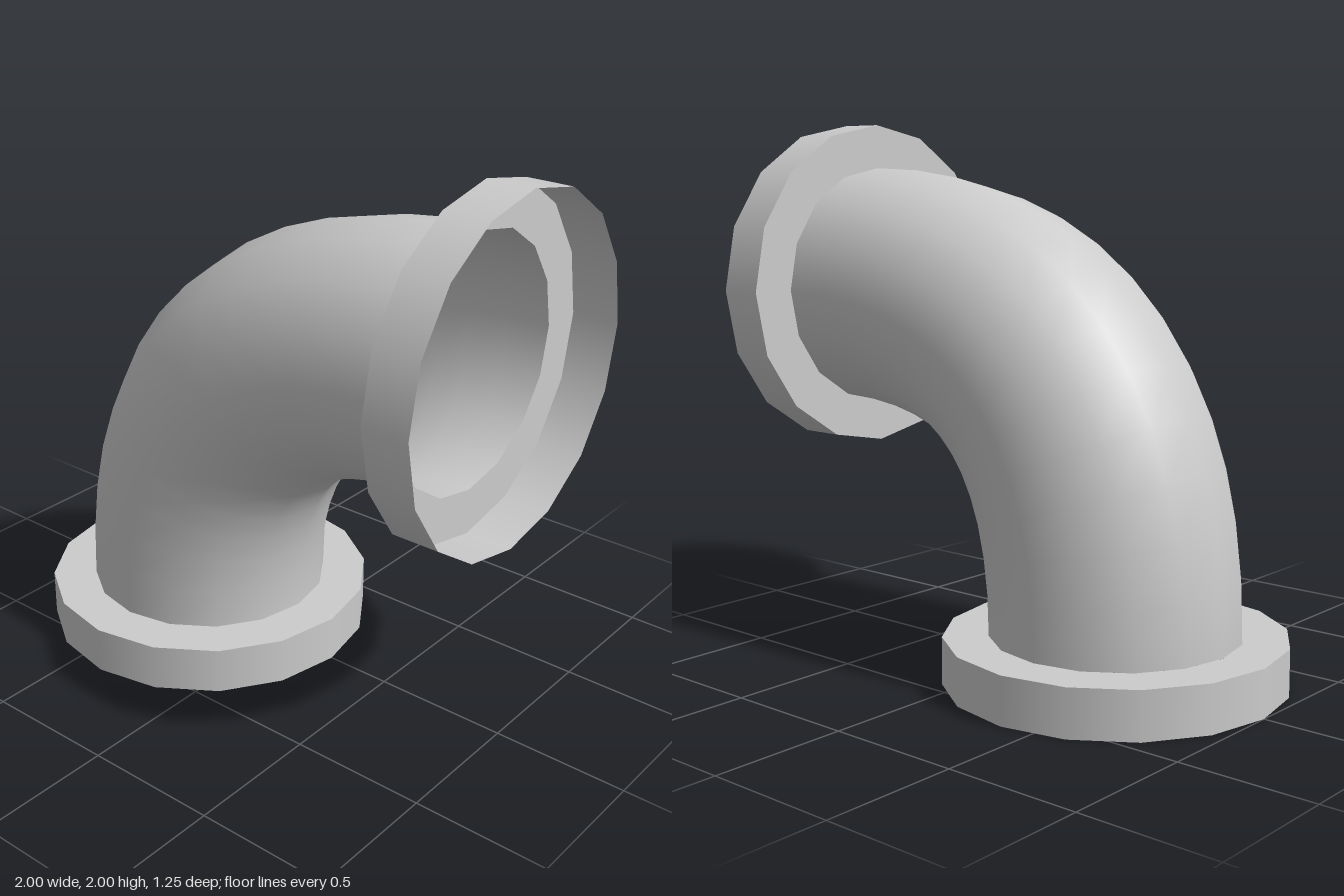
import * as THREE from 'three';

const SIDES = 16;
const PIPE_RADIUS = 0.4575;
const FLANGE_RADIUS = 0.625;
const FLANGE_DEPTH = 0.175;

const material = new THREE.MeshStandardMaterial({ color: 0xcccccc, side: THREE.DoubleSide });

function addMesh(parent, name, geometry) {
  const mesh = new THREE.Mesh(geometry, material);
  mesh.name = name;
  parent.add(mesh);
  return mesh;
}

// Open cup: a thin rim from y = 0 up to a flat ring that meets the pipe
function makeFlange(name) {
  const flange = new THREE.Group();
  flange.name = name;
  const rim = addMesh(flange, 'rim',
    new THREE.CylinderGeometry(FLANGE_RADIUS, FLANGE_RADIUS, FLANGE_DEPTH, SIDES, 1, true));
  rim.position.y = FLANGE_DEPTH / 2;
  const ring = addMesh(flange, 'ring', new THREE.RingGeometry(PIPE_RADIUS, FLANGE_RADIUS, SIDES));
  ring.rotation.x = -Math.PI / 2;
  ring.position.y = FLANGE_DEPTH;
  return flange;
}

export function createModel() {
  const model = new THREE.Group();
  model.name = 'pipeElbow';

  // Bent pipe, its rings spaced evenly in the curve parameter
  const bend = new THREE.QuadraticBezierCurve3(
    new THREE.Vector3(-0.375, FLANGE_DEPTH, 0),
    new THREE.Vector3(-0.375, 1.375, 0),
    new THREE.Vector3(1 - FLANGE_DEPTH, 1.375, 0));
  bend.getUtoTmapping = (u) => u;
  addMesh(model, 'bentPipe', new THREE.TubeGeometry(bend, 13, PIPE_RADIUS, SIDES));

  // Flange standing on the ground
  const bottomFlange = makeFlange('bottomFlange');
  bottomFlange.position.x = -0.375;
  model.add(bottomFlange);

  // Flange opening to the side
  const sideFlange = makeFlange('sideFlange');
  sideFlange.rotation.z = Math.PI / 2;
  sideFlange.position.set(1, 1.375, 0);
  model.add(sideFlange);

  return model;
}
